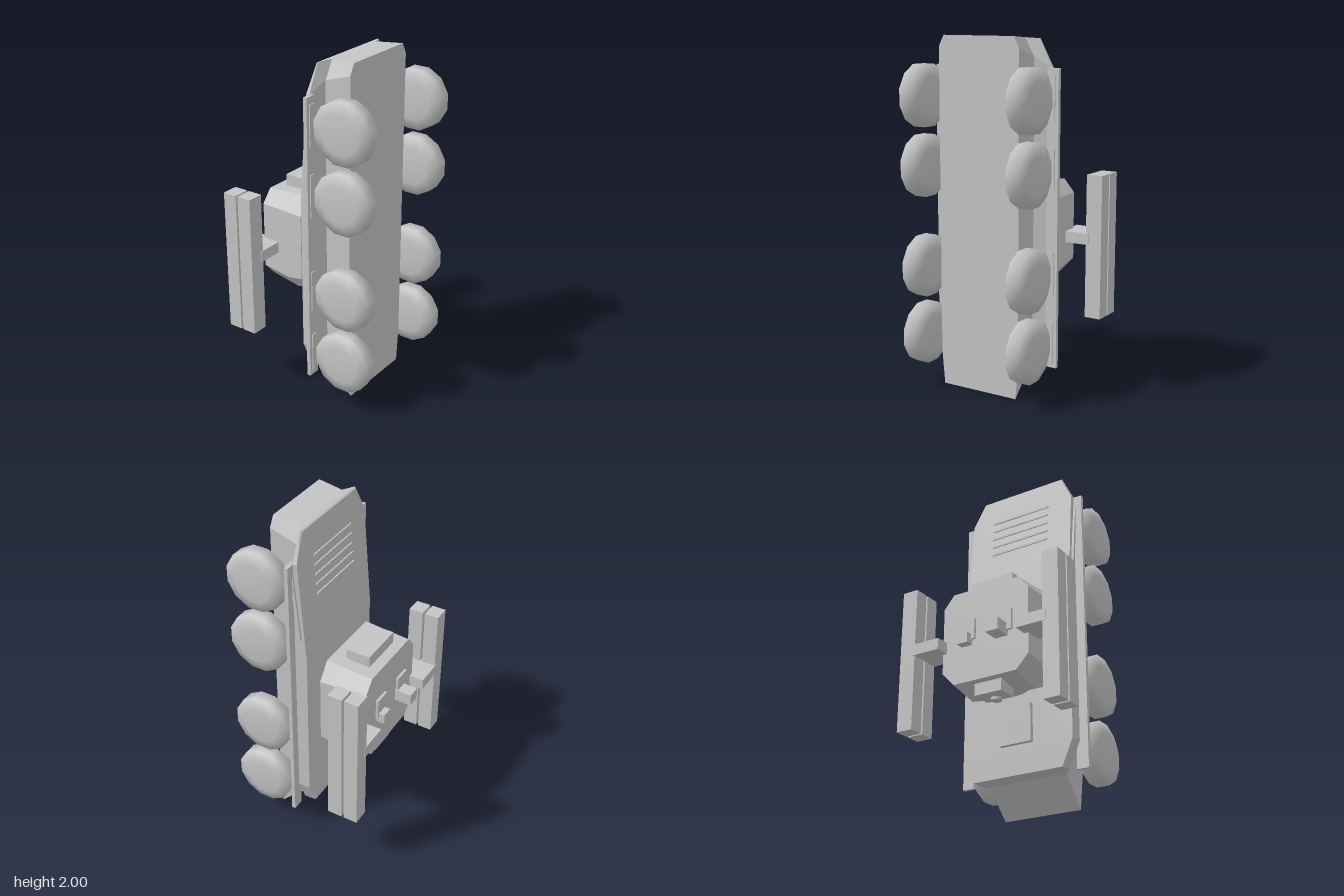
import * as THREE from 'three';

const grey = new THREE.MeshStandardMaterial({ color: 0xc4c4c4 });
grey.name = 'plain grey';
const flatGrey = grey;

// Closed solid from mirrored outlines; each layer lists [halfWidth, y, z] from top to bottom.
function layeredSolid(layers) {
  const loops = layers.map((l) => [
    ...l,
    ...l.slice().reverse().map(([x, y, z]) => [-x, y, z]),
  ]);
  const n = loops[0].length;
  const pos = [];
  const quad = (a, b, c, d) => pos.push(...a, ...b, ...c, ...a, ...c, ...d);
  for (let k = 0; k < loops.length - 1; k++) {
    const p = loops[k], q = loops[k + 1];
    for (let j = 0; j < n; j++) {
      const m = (j + 1) % n;
      quad(p[j], p[m], q[m], q[j]);
    }
  }
  const first = loops[0], last = loops[loops.length - 1];
  for (let i = 0; i < n / 2 - 1; i++) {
    quad(last[i], last[i + 1], last[n - 2 - i], last[n - 1 - i]);
    quad(first[n - 1 - i], first[n - 2 - i], first[i + 1], first[i]);
  }
  const g = new THREE.BufferGeometry();
  g.setAttribute('position', new THREE.Float32BufferAttribute(pos, 3));
  g.computeVertexNormals();
  return g;
}

export function createModel() {
  const model = new THREE.Group();
  model.name = 'wheeledVehicle';

  const add = (name, geometry, x = 0, y = 0, z = 0) => {
    const mesh = new THREE.Mesh(geometry, flatGrey);
    mesh.name = name;
    mesh.position.set(x, y, z);
    model.add(mesh);
    return mesh;
  };
  // Box given by its limits on each axis
  const box = (name, x0, x1, y0, y1, z0, z1) =>
    add(name, new THREE.BoxGeometry(Math.abs(x1 - x0), y1 - y0, z1 - z0),
      (x0 + x1) / 2, (y0 + y1) / 2, (z0 + z1) / 2);

  // Hull: belly, waist, flared sponson, sloping deck
  add('hull', layeredSolid([
    [[0.225, 2.0, 0.24], [0.257, 1.94, 0.24], [0.257, 1.25, 0.24], [0.257, 0.2, 0.24], [0.24, 0.005, 0.24]],
    [[0.2, 1.99, 0.085], [0.257, 1.89, 0.085], [0.257, 1.25, 0.085], [0.257, 0.25, 0.085], [0.245, 0.165, 0.085]],
    [[0.275, 1.985, 0.05], [0.35, 1.83, 0.05], [0.35, 1.25, 0.05], [0.35, 0.32, 0.05], [0.285, 0.17, 0.05]],
    [[0.27, 1.98, 0.04], [0.345, 1.83, 0.027], [0.345, 1.25, -0.02], [0.345, 0.32, -0.02], [0.28, 0.17, -0.02]],
  ]));

  // Rear deck louvres and front hatch
  for (let i = 0; i < 5; i++) {
    const y = 1.58 + i * 0.057;
    const z = -0.02 + (0.06 * (y - 1.25)) / 0.73;
    box('deckLouvre', -0.19, 0.19, y - 0.006, y + 0.006, z - 0.008, z + 0.006);
  }
  box('deckHatch', -0.1, 0.1, 0.34, 0.56, -0.045, -0.015);

  // Wheels
  const R = 0.178;
  const wheel = new THREE.LatheGeometry(
    [[0, -0.06], [0.11, -0.06], [R, -0.038], [R, 0.038], [0.11, 0.06], [0, 0.06]]
      .map(([r, h]) => new THREE.Vector2(r, h)), 12);
  wheel.rotateY(Math.PI / 12);
  wheel.rotateZ(Math.PI / 2);
  const wheelYs = [0.31, 0.705, 1.28, 1.67];

  for (const s of [-1, 1]) {
    for (const y of wheelYs) {
      add('wheel', wheel, s * 0.34, y, 0.27);
      box('wheelArchPad', s * 0.345, s * 0.38, y - 0.12, y + 0.12, 0.068, 0.076);
    }
    // Mudguard and slanted side rail
    box('mudguard', s * 0.33, s * 0.4, 0.165, 1.83, 0.048, 0.07);
    const rail = box('sideRail', s * 0.335, s * 0.36, 1.375, 1.835, 0.03, 0.046);
    rail.rotation.x = 0.1;

    // Launcher pods on an arm
    box('podArm', s * 0.25, s * 0.43, 0.815, 0.88, -0.43, -0.24);
    box('innerPod', s * 0.41, s * 0.507, 0.385, 1.22, -0.33, -0.245);
    box('outerPod', s * 0.41, s * 0.507, 0.385, 1.22, -0.427, -0.343);
  }

  // Turret ring and turret
  const ring = new THREE.CylinderGeometry(0.226, 0.226, 0.06, 32);
  ring.rotateX(Math.PI / 2);
  add('turretRing', ring, 0, 0.845, -0.062 + 0.0);
  add('turret', layeredSolid([
    [[0.215, 1.19, -0.068], [0.29, 1.09, -0.068], [0.29, 0.9, -0.068], [0.29, 0.7, -0.068], [0.2, 0.62, -0.068]],
    [[0.214, 1.18, -0.16], [0.285, 1.09, -0.16], [0.285, 0.9, -0.16], [0.285, 0.68, -0.16], [0.2, 0.585, -0.16]],
    [[0.212, 1.165, -0.345], [0.275, 1.09, -0.345], [0.275, 0.9, -0.345], [0.275, 0.7, -0.345], [0.2, 0.62, -0.345]],
  ]));

  // Turret bustle box and front gun mount
  box('bustleBox', -0.138, 0.136, 1.15, 1.238, -0.285, -0.142);
  box('gunMount', -0.085, 0.085, 0.545, 0.68, -0.31, -0.19);
  add('gunMuzzle', new THREE.CylinderGeometry(0.03, 0.03, 0.04, 16), 0, 0.548, -0.225);

  // Roof hatches and sights
  box('roofHatchRight', -0.177, -0.075, 0.86, 0.98, -0.36, -0.34);
  box('roofHatchLeft', 0.06, 0.16, 0.86, 0.98, -0.36, -0.34);
  box('tallSight', -0.147, -0.068, 0.83, 0.9, -0.445, -0.34);
  box('shortSight', 0.082, 0.15, 0.83, 0.89, -0.395, -0.34);

  return model;
}
